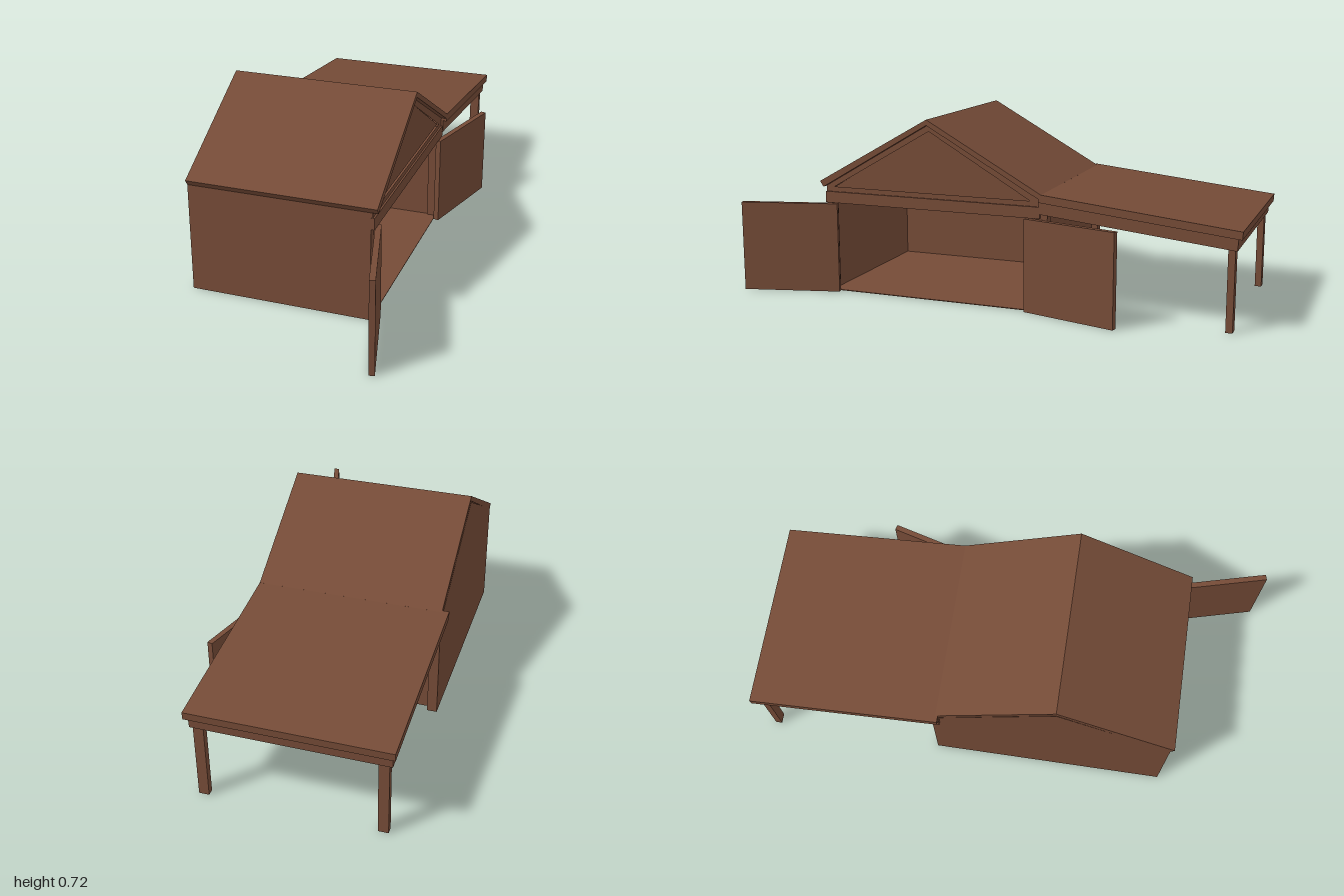
import * as THREE from 'three';

export function createModel() {
  const model = new THREE.Group();
  model.name = 'barn';
  const wood = new THREE.MeshStandardMaterial({ color: 0x754b37, flatShading: true });

  const add = (name, geometry) => {
    const mesh = new THREE.Mesh(geometry, wood);
    mesh.name = name;
    model.add(mesh);
    return mesh;
  };

  // Box from its lower and upper corners
  const box = (name, [x0, y0, z0], [x1, y1, z1]) => {
    const g = new THREE.BoxGeometry(x1 - x0, y1 - y0, z1 - z0);
    g.translate((x0 + x1) / 2, (y0 + y1) / 2, (z0 + z1) / 2);
    return add(name, g);
  };

  // Side profile of [z, y] points, extruded from x0 to x1
  const toPoints = (pts) => pts.map(([z, y]) => new THREE.Vector2(-z, y));
  const profile = (name, pts, x0, x1, hole) => {
    const shape = new THREE.Shape(toPoints(pts));
    if (hole) shape.holes.push(new THREE.Path(toPoints(hole)));
    const g = new THREE.ExtrudeGeometry(shape, { depth: x1 - x0, bevelEnabled: false });
    g.rotateY(Math.PI / 2);
    g.translate(x0, 0, 0);
    return add(name, g);
  };

  // Floor and walls, open on the +x side
  box('floor', [-0.4, 0, -0.24], [0.302, 0.003, 0.67]);
  box('frontWall', [-0.4, 0, 0.652], [0.302, 0.436, 0.67]);
  box('backWall', [-0.4, 0, -0.24], [0.302, 0.436, -0.222]);
  profile('closedGableWall',
    [[0.67, 0], [0.67, 0.435], [0.215, 0.693], [-0.24, 0.438], [-0.24, 0]], -0.402, -0.384);

  // Posts along the back wall and at the front of the opening
  for (const x of [-0.402, 0.265]) {
    box('backCornerPost', [x, 0, -0.267], [x + 0.039, 0.385, -0.215]);
  }
  box('frontCornerPost', [0.275, 0, 0.635], [0.302, 0.4, 0.669]);

  // Main gabled roof
  profile('mainRoof', [[0.685, 0.453], [0.215, 0.72], [-0.25, 0.46],
    [-0.25, 0.437], [0.215, 0.698], [0.67, 0.431]], -0.402, 0.33);

  // Beam over the opening and the framed gable above it
  box('doorBeam', [0.285, 0.365, -0.24], [0.315, 0.41, 0.669]);
  profile('gableFrame', [[0.668, 0.41], [0.668, 0.434], [0.215, 0.7], [-0.24, 0.443], [-0.24, 0.41]],
    0.285, 0.308, [[0.632, 0.43], [0.215, 0.672], [-0.2, 0.43]]);
  profile('gablePanel', [[0.64, 0.425], [0.215, 0.68], [-0.21, 0.425]], 0.286, 0.298);

  // Lean-to roof with its solid underlayer
  profile('leanToRoof', [[-0.24, 0.461], [-1, 0.38], [-0.998, 0.35], [-0.24, 0.43]], -0.428, 0.33);
  profile('leanToUnderside',
    [[-0.236, 0.433], [-0.983, 0.353], [-0.98, 0.305], [-0.236, 0.383]], -0.415, 0.317);

  // Lean-to posts
  for (const x of [-0.402, 0.268]) {
    box('leanToPost', [x, 0, -0.972], [x + 0.039, 0.33, -0.946]);
  }

  // Open doors, swung outward
  for (const [name, z, dir] of [['frontDoor', 0.807, 1], ['backDoor', -0.373, -1]]) {
    const door = add(name, new THREE.BoxGeometry(0.022, 0.363, 0.393));
    door.position.set(0.364, 0.1815, z);
    door.rotation.y = dir * THREE.MathUtils.degToRad(15);
  }

  return model;
}
